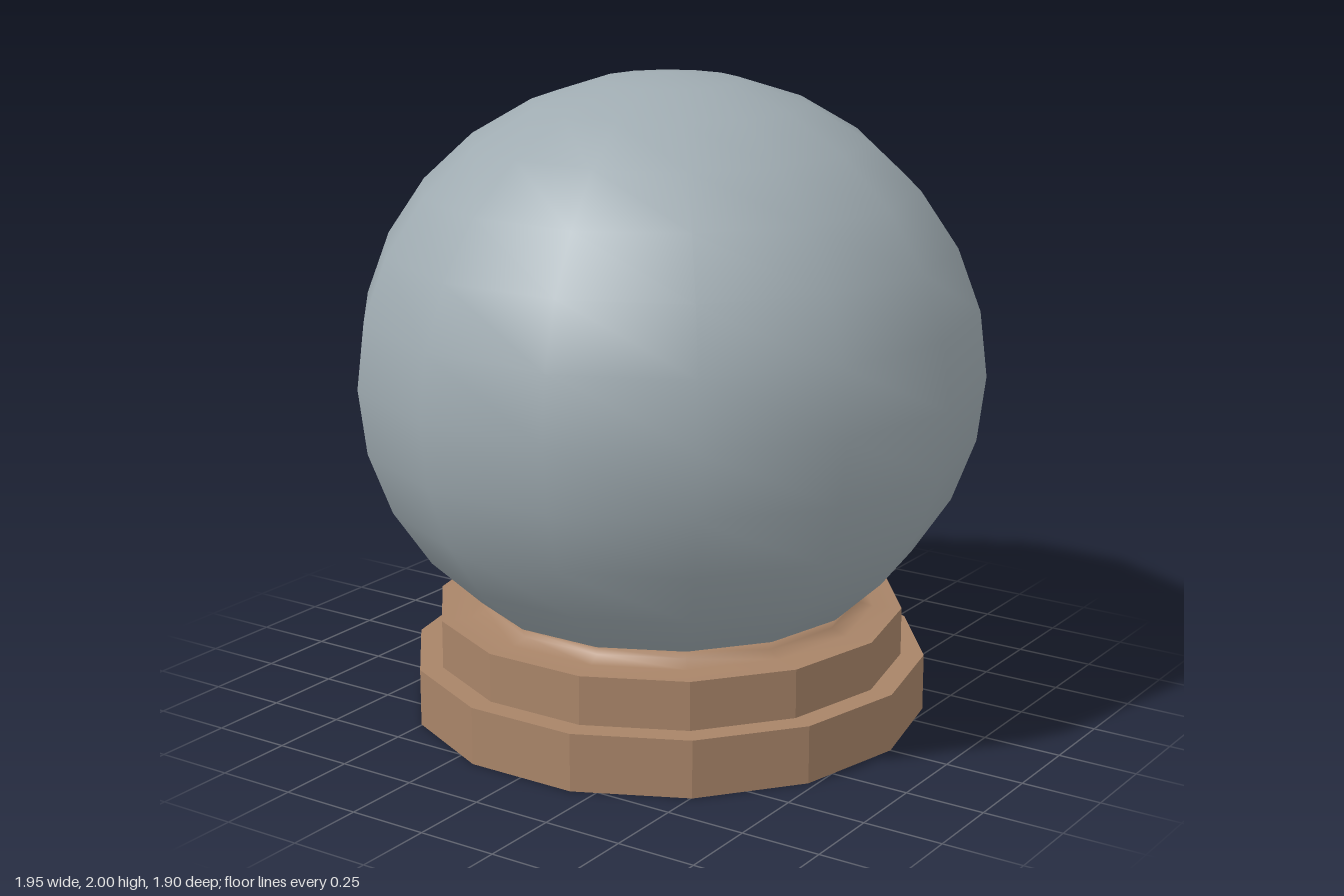
import * as THREE from 'three';

const SIDES = 14;
const wood = new THREE.MeshStandardMaterial({ color: 0xa88468, flatShading: true });
const woodSmooth = new THREE.MeshStandardMaterial({ color: 0xa88468, side: THREE.DoubleSide });
const glass = new THREE.MeshStandardMaterial({ color: 0x9fabb1 });

function addPart(group, name, geometry, material, y = 0) {
  const mesh = new THREE.Mesh(geometry, material);
  mesh.name = name;
  mesh.position.y = y;
  group.add(mesh);
  return mesh;
}

// Faceted disc with a corner on the x axis
function tier(radius, bottom, top) {
  const g = new THREE.CylinderGeometry(radius, radius, top - bottom, SIDES);
  g.rotateY(Math.PI / 2);
  g.translate(0, (bottom + top) / 2, 0);
  return g;
}

export function createModel() {
  const model = new THREE.Group();
  model.name = 'globeOnStand';

  // Stepped stand
  addPart(model, 'lowerTier', tier(0.808, 0, 0.18), wood);
  addPart(model, 'upperTier', tier(0.735, 0.18, 0.332), wood);

  // Collar that curves in and flares out to cradle the globe
  const profile = [[0.735, 0.332], [0.645, 0.334], [0.595, 0.35], [0.606, 0.376], [0.56, 0.365]]
    .map(([r, y]) => new THREE.Vector2(r, y));
  addPart(model, 'collar', new THREE.LatheGeometry(profile, SIDES, Math.PI / 2), woodSmooth);

  // Slightly flattened globe
  const globe = new THREE.SphereGeometry(1, SIDES, 14);
  globe.scale(0.975, 0.91, 0.975);
  addPart(model, 'globe', globe, glass, 1.09);

  return model;
}
